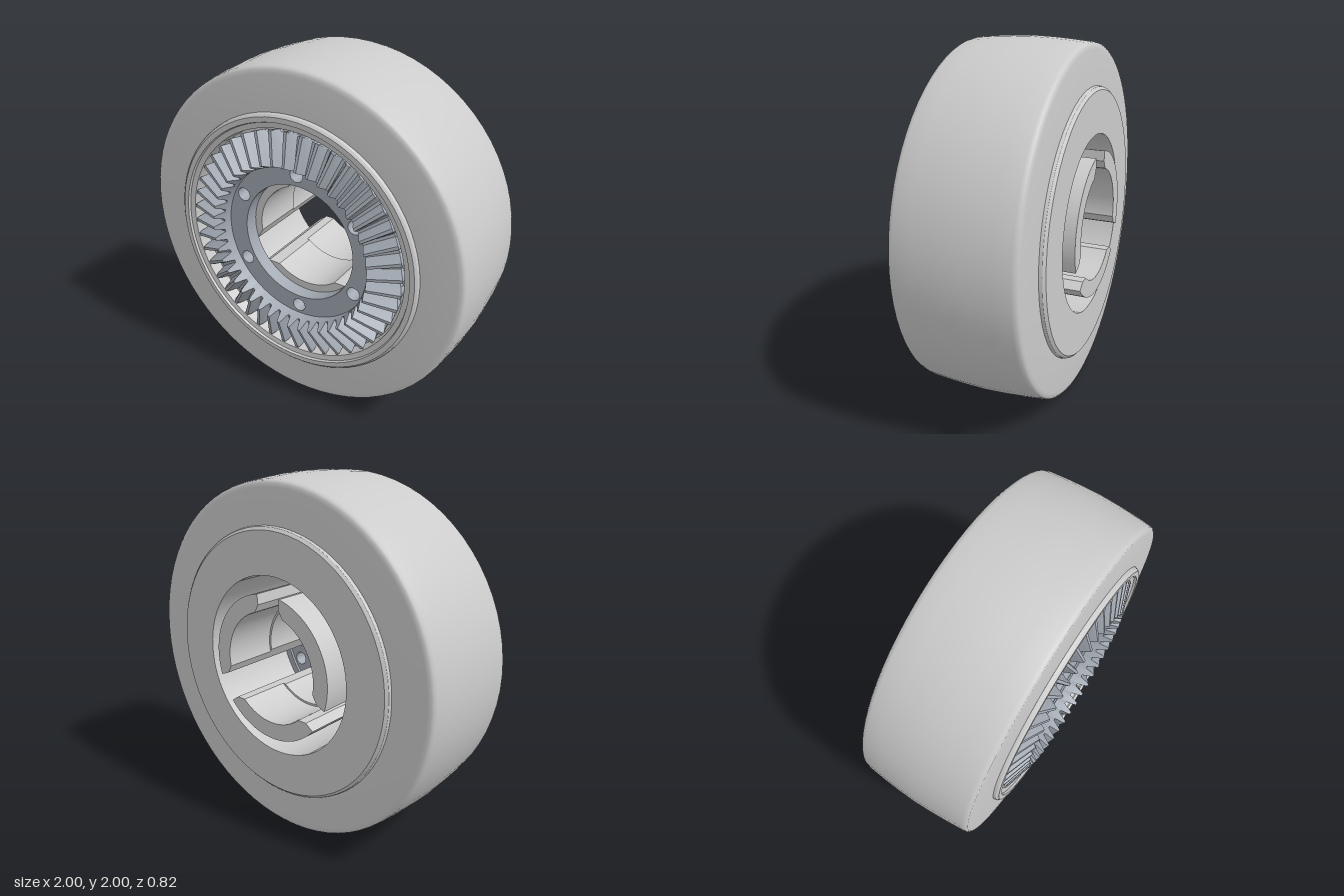
import * as THREE from 'three';
import { toCreasedNormals } from 'three/addons/utils/BufferGeometryUtils.js';

const grey = new THREE.MeshStandardMaterial({ color: 0xcccccc });
const steel = new THREE.MeshStandardMaterial({ color: 0xa2a9b2 });

function addMesh(parent, name, geometry, material) {
  const mesh = new THREE.Mesh(geometry, material);
  mesh.name = name;
  parent.add(mesh);
  return mesh;
}

// Solid of revolution about z; the closed profile holds [radius, z] pairs.
function turned(profile, segments) {
  const points = [...profile, profile[0]].map(([r, z]) => new THREE.Vector2(r, z));
  return new THREE.LatheGeometry(points, segments).rotateX(Math.PI / 2);
}

// Extrusion along z between two depths.
function slab(shape, z0, z1) {
  const geo = new THREE.ExtrudeGeometry(shape, { depth: z1 - z0, bevelEnabled: false, curveSegments: 40 });
  return toCreasedNormals(geo.translate(0, 0, z0), 0.5);
}

// Bevel gear: a root profile whose tip points rise and fall around the ring.
function bevelGear(teeth, steps) {
  const root = [[0.46, 0.2], [0.63, 0.2], [0.63, 0.3], [0.46, 0.35], [0.46, 0.349]];
  const tip = [[0.46, 0.2], [0.63, 0.2], [0.665, 0.355], [0.49, 0.41], [0.46, 0.349]];
  const count = root.length + 1;
  const geo = new THREE.LatheGeometry(
    [...root, root[0]].map(([r, z]) => new THREE.Vector2(r, z)), teeth * steps);
  const pos = geo.attributes.position;
  for (let i = 0; i < pos.count; i++) {
    const k = (i % count) % root.length;
    const step = Math.floor(i / count);
    const phase = (step % steps) / steps;
    const height = THREE.MathUtils.clamp(0.5 + 0.7 * Math.cos(phase * Math.PI * 2), 0, 1);
    const r = THREE.MathUtils.lerp(root[k][0], tip[k][0], height);
    const z = THREE.MathUtils.lerp(root[k][1], tip[k][1], height);
    const skew = k === 2 ? 0.03 : 0; // slight slant of the teeth
    const a = (step / (teeth * steps)) * Math.PI * 2 + skew;
    pos.setXYZ(i, Math.sin(a) * r, z, Math.cos(a) * r);
  }
  return toCreasedNormals(geo.rotateX(Math.PI / 2), 0.6);
}

// Outline of one clamp jaw, centred on straight down.
function jawShape(inner) {
  const down = -Math.PI / 2;
  const innerHalf = Math.acos(0.235 / inner);
  const outerHalf = 0.85;
  const shape = new THREE.Shape();
  shape.absarc(0, 0, inner, down - innerHalf, down + innerHalf, false);
  shape.lineTo(0.26, -0.235);
  shape.absarc(0, 0, 0.408, down + outerHalf, down - outerHalf, true);
  shape.lineTo(-0.26, -0.235);
  shape.closePath();
  return shape;
}

export function createModel() {
  const model = new THREE.Group();
  model.name = 'gearedWheel';
  const wheel = new THREE.Group();
  wheel.name = 'wheel';
  wheel.position.y = 1;
  model.add(wheel);

  // Tyre with a gently crowned tread and rounded shoulders
  const half = [[1, 0], [0.997, 0.1], [0.991, 0.2], [0.982, 0.3], [0.977, 0.32], [0.965, 0.329], [0.945, 0.331], [0.77, 0.345], [0.74, 0.345]];
  const tyre = [...half.slice(1).reverse().map(([r, z]) => [r, -z]), ...half];
  addMesh(wheel, 'tyre', toCreasedNormals(turned(tyre, 72), 0.7), grey);

  // Hub with an open bore at the back and a stepped rim at the front
  const hub = [
    [0.5, -0.375], [0.735, -0.375], [0.75, -0.362], [0.757, -0.335], [0.757, 0.335],
    [0.75, 0.36], [0.738, 0.371], [0.71, 0.371], [0.705, 0.357], [0.675, 0.352],
    [0.668, 0.28], [0.5, 0.28],
  ];
  addMesh(wheel, 'hub', toCreasedNormals(turned(hub, 72), 0.5), grey);

  addMesh(wheel, 'bevelGear', bevelGear(44, 10), steel);

  // Mounting ring with six bolt holes
  const ring = new THREE.Shape().absarc(0, 0, 0.465, 0, Math.PI * 2);
  ring.holes.push(new THREE.Path().absarc(0, 0, 0.345, 0, Math.PI * 2, true));
  for (let i = 0; i < 6; i++) {
    const a = Math.PI / 2 + (i * Math.PI) / 3;
    ring.holes.push(new THREE.Path().absarc(Math.cos(a) * 0.407, Math.sin(a) * 0.407, 0.039, 0, Math.PI * 2, true));
  }
  addMesh(wheel, 'mountingRing', slab(ring, 0.215, 0.295), steel);

  // Three clamp jaws inside the bore, slightly stepped along their inner face
  const rear = slab(jawShape(0.312), -0.41, -0.1);
  const front = slab(jawShape(0.3), -0.1, 0.215);
  for (let i = 0; i < 3; i++) {
    const jaw = new THREE.Group();
    jaw.name = 'clampJaw';
    jaw.rotation.z = (i * Math.PI * 2) / 3;
    addMesh(jaw, 'jawRear', rear, grey);
    addMesh(jaw, 'jawFront', front, grey);
    wheel.add(jaw);
  }
  return model;
}
